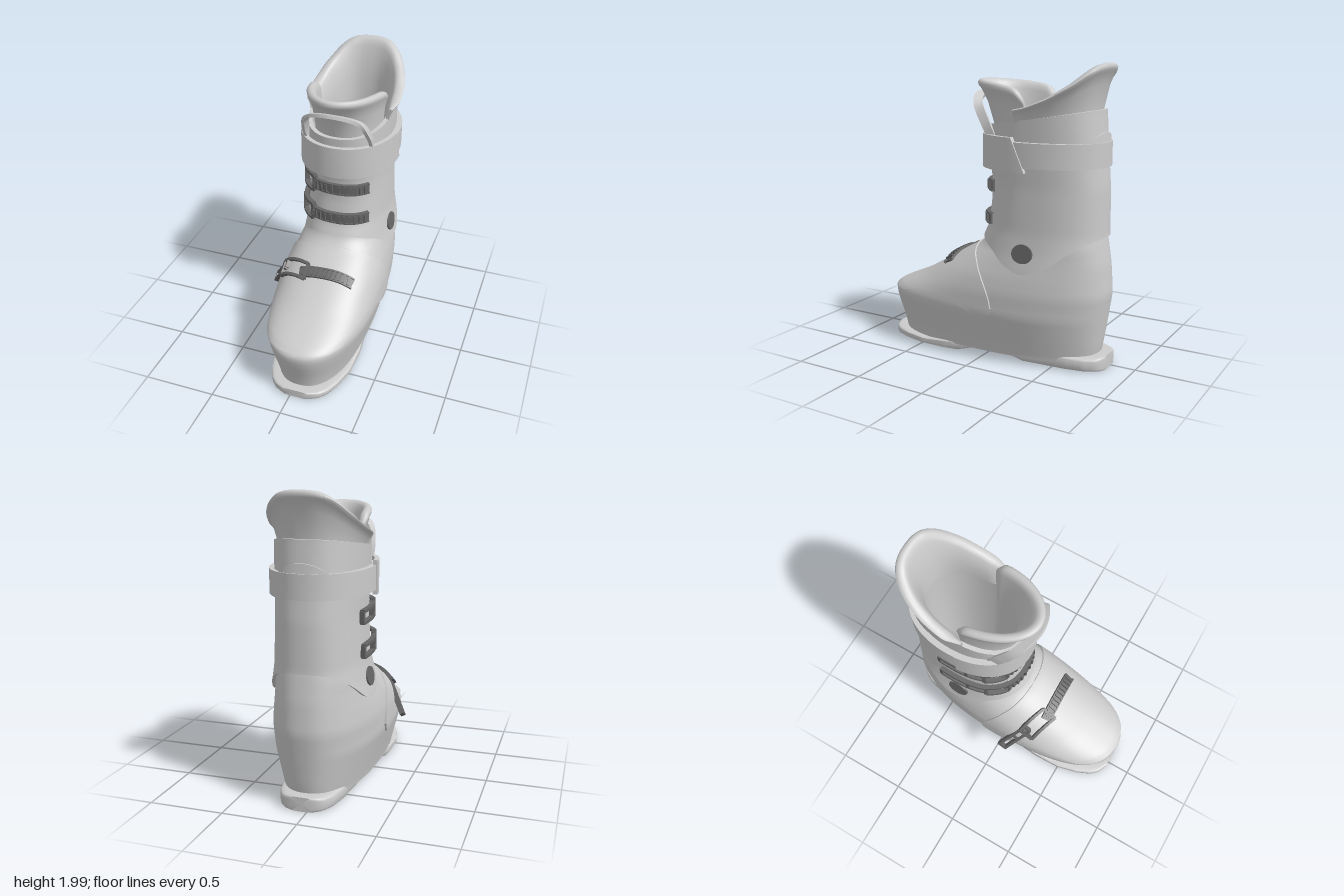
import * as THREE from 'three';
import { toCreasedNormals } from 'three/addons/utils/BufferGeometryUtils.js';

const CX = 0.04, PI = Math.PI;
const V = (x, y, z) => new THREE.Vector3(x, y, z);
const shellMat = new THREE.MeshStandardMaterial({ color: 0xcccccc, side: THREE.DoubleSide });
const darkMat = new THREE.MeshStandardMaterial({ color: 0x666666, side: THREE.DoubleSide });
const range = (n, f) => Array.from({ length: n + 1 }, (_, i) => f(i / n, i));
const { lerp: mix, clamp } = THREE.MathUtils;
const spow = (v, p) => Math.sign(v) * Math.abs(v) ** p;

// Piecewise interpolation of [key, value] pairs, and a softened version
function lin(tab, k) {
  if (k <= tab[0][0]) return tab[0][1];
  for (let i = 1; i < tab.length; i++) {
    const [a, va] = tab[i - 1], [b, vb] = tab[i];
    if (k <= b) return mix(va, vb, (k - a) / (b - a));
  }
  return tab[tab.length - 1][1];
}
const soft = (tab, k) => (lin(tab, k - 0.025) + lin(tab, k) + lin(tab, k + 0.025)) / 3;

// Profiles by height: plan roundness, front z, back z, half width, z of widest point
const SHELL = {
  n: 2.4,
  zf: [[0.05, 0.765], [0.14, 0.785], [0.28, 0.83], [0.35, 0.842], [0.385, 0.83], [0.405, 0.79], [0.45, 0.69], [0.5, 0.57], [0.6, 0.395], [0.7, 0.23], [0.78, 0.09], [0.85, 0.045], [0.95, 0]],
  zb: [[0.05, -0.75], [0.15, -0.77], [0.5, -0.82], [0.7, -0.805], [0.88, -0.775], [0.95, -0.76]],
  hw: [[0.05, 0.278], [0.15, 0.302], [0.35, 0.354], [0.5, 0.35], [0.6, 0.332], [0.7, 0.303], [0.78, 0.282], [0.95, 0.26]],
  zc: [[0.05, 0.07], [0.38, 0.07], [0.6, -0.1], [0.8, -0.35]],
};
const CUFF = {
  n: 2.4,
  zf: [[0.64, 0.12], [0.78, 0.1], [0.85, 0.07], [0.92, 0.035], [1.1, 0.01], [1.25, 0.01], [1.35, 0.035], [1.6, 0.045]],
  zb: [[0.64, -0.82], [0.88, -0.785], [1.2, -0.782], [1.4, -0.765], [1.7, -0.742]],
  hw: [[0.64, 0.328], [0.78, 0.297], [0.9, 0.28], [1.2, 0.268], [1.4, 0.272], [1.7, 0.278]],
  zc: [[0.64, -0.36]],
};
const STRAP = { n: 2.15, zf: [[0, 0.075]], zb: [[0, -0.79]], hw: [[0, 0.328]], zc: [[0, -0.34]] };

// Point of a profile at height y and plan angle a (front = PI/2)
function at(p, y, a, off = 0) {
  const zc = soft(p.zc, y), s = spow(Math.sin(a), 2 / p.n);
  const reach = s > 0 ? soft(p.zf, y) - zc : zc - soft(p.zb, y);
  return V(CX + (soft(p.hw, y) + off) * spow(Math.cos(a), 2 / p.n), y, zc + (reach + off) * s);
}
// Half width of the lower shell at (y, z), and its ridge height at z
function halfWidth(y, z, off) {
  const zc = soft(SHELL.zc, y), n = SHELL.n;
  const r = Math.abs(z - zc) / ((z > zc ? soft(SHELL.zf, y) - zc : zc - soft(SHELL.zb, y)) + off);
  return r >= 1 ? 0 : (soft(SHELL.hw, y) + off) * (1 - r ** n) ** (1 / n);
}
function bisect(lo, hi, inside) {
  for (let i = 0; i < 24; i++) { const m = (lo + hi) / 2; if (inside(m)) lo = m; else hi = m; }
  return lo;
}
const ridge = (z, off) => bisect(0.36, 0.95, y => soft(SHELL.zf, y) + off > z);
const overFoot = (x, z, off) => V(x, bisect(0.4, ridge(z, off), y => halfWidth(y, z, off) > Math.abs(x - CX)), z);

// Skin over rows of points
function loft(rows, { closed = true, cap = false, crease = 0 } = {}) {
  const n = rows[0].length, pos = [], idx = [];
  rows.forEach(r => r.forEach(p => pos.push(p.x, p.y, p.z)));
  for (let j = 0; j < rows.length - 1; j++) for (let i = 0; i < (closed ? n : n - 1); i++) {
    const a = j * n + i, b = j * n + (i + 1) % n;
    idx.push(a, a + n, b, b, a + n, b + n);
  }
  if (cap) [0, rows.length - 1].forEach((j, end) => {
    const c = pos.length / 3, m = rows[j].reduce((s, p) => s.add(p), V(0, 0, 0)).divideScalar(n);
    pos.push(m.x, m.y, m.z);
    for (let i = 0; i < n; i++) {
      const a = j * n + i, b = j * n + (i + 1) % n;
      idx.push(c, end ? b : a, end ? a : b);
    }
  });
  const g = new THREE.BufferGeometry();
  g.setAttribute('position', new THREE.Float32BufferAttribute(pos, 3));
  g.setIndex(idx);
  g.computeVertexNormals();
  return crease ? toCreasedNormals(g, crease) : g;
}
// Flat bar of width w (along W) and thickness t following points
function bar(pts, W, w, t) {
  return loft(pts.map((p, i) => {
    const T = pts[Math.min(i + 1, pts.length - 1)].clone().sub(pts[Math.max(i - 1, 0)]).normalize();
    const B = W.clone().addScaledVector(T, -W.dot(T)).normalize(), A = T.clone().cross(B);
    return [[1, -1], [1, 1], [-1, 1], [-1, -1]].map(([a, b]) =>
      p.clone().addScaledVector(A, a * t / 2).addScaledVector(B, b * w / 2));
  }), { cap: true, crease: 0.6 });
}

export function createModel() {
  const model = new THREE.Group();
  const add = (name, geo, mat = shellMat, parent = model) => {
    const m = new THREE.Mesh(geo, mat);
    m.name = name;
    parent.add(m);
    return m;
  };
  const ring = (f, n = 96) => range(n - 1, (_, i) => f(i / n * 2 * PI));

  // Sole with raised arch
  const soleW = [[-0.83, 0.07], [-0.815, 0.115], [-0.79, 0.145], [-0.72, 0.182], [-0.6, 0.208], [-0.3, 0.235], [0, 0.262], [0.3, 0.288], [0.5, 0.282], [0.65, 0.245], [0.75, 0.2], [0.8, 0.155], [0.83, 0.09]];
  const soleB = [[-0.3, 0.004], [-0.14, 0.055], [0.04, 0.055], [0.2, 0.004]];
  const soleT = [[-0.7, 0.1], [-0.3, 0.135], [-0.1, 0.12], [0.45, 0.06]];
  add('sole', loft(range(100, t => {
    const z = mix(-0.83, 0.83, t), b = lin(soleB, z), h = (lin(soleT, z) - b) / 2, w = lin(soleW, z);
    return ring(a => V(CX + w * spow(Math.sin(a), 0.35), b + h + h * spow(Math.cos(a), 0.35), z), 32);
  }), { cap: true, crease: 0.7 }));

  // Lower shell
  add('lowerShell', loft(range(70, t => ring(a => at(SHELL, mix(0.058, 0.95, t), a)))));

  // Instep panel lying over the toes
  const low = [[-0.125, 0.385], [-0.1, 0.335], [-0.075, 0.315], [-0.05, 0.31], [0.05, 0.345], [0.2, 0.42], [0.35, 0.452], [0.5, 0.425], [0.65, 0.382], [0.75, 0.372], [0.83, 0.385]];
  const rear = [[-0.125, 0.39], [-0.12, 0.43], [-0.09, 0.51], [-0.04, 0.6], [0.02, 0.69], [0.1, 0.77], [0.2, 0.95]];
  for (const side of [-1, 1]) add('instepPanel', loft(range(90, u => {
    const z = mix(-0.125, 0.838, u), top = ridge(z, 0.013), back = lin(rear, z);
    const y0 = Math.min(lin(low, z), top), y1 = Math.min(top, back);
    return range(26, (_, i) => {
      const y = mix(y0, y1, 1 - (1 - clamp((i - 1) / 24, 0, 1)) ** 2);
      const off = i === 0 || (i === 26 && back < top) ? -0.01 : 0.013;
      return V(CX + side * (i > 24 && back >= top ? 0 : halfWidth(y, z, off)), y, z);
    });
  }), { closed: false, crease: 0.6 }));

  // Cuff: wavy lower edge, sloping top, rolled rim
  const hem = [[-0.8, 0.89], [-0.75, 0.87], [-0.6, 0.78], [-0.47, 0.68], [-0.33, 0.64], [-0.2, 0.69], [-0.1, 0.77], [0.06, 0.84]];
  const rim = [[-0.74, 1.7], [0.05, 1.58]];
  const hemAt = a => soft(hem, at(CUFF, 0.8, a).z), rimAt = a => lin(rim, at(CUFF, 1.6, a).z);
  const onCuff = (a, t, off) => at(CUFF, mix(hemAt(a), rimAt(a), t), a, off);
  add('cuff', loft([
    ring(a => onCuff(a, 0, -0.02)),
    ...range(50, t => ring(a => onCuff(a, t, 0.004))),
    ring(a => onCuff(a, 1, -0.025)), ring(a => onCuff(a, 0.8, -0.03)),
  ], { crease: 0.8 }));
  add('rearTab', loft(range(20, t => {
    const a = -PI / 2 + (t - 0.5) * 1.1, h = 0.07 * Math.sin(t * PI);
    return [at(CUFF, 1.46, a, 0), at(CUFF, 1.46, a, 0.02), at(CUFF, 1.49 + h, a, 0.02), at(CUFF, 1.49 + h, a, 0)];
  }), { cap: true, crease: 0.6 }));

  // Ankle pivots
  for (const side of [-1, 1]) {
    const p = add('anklePivot', new THREE.CylinderGeometry(0.062, 0.064, 0.016, 32), darkMat);
    p.rotation.z = -side * (PI / 2 - 0.18);
    p.scale.z = 1.2;
    p.position.set(CX + side * 0.304, 0.78, -0.335);
  }

  // Inner boot: sock narrowing to a pointed floor, rear collar and tongue
  add('innerSock', loft([[1.58, 0, -0.69, 0.245, 1], [1.2, -0.04, -0.695, 0.235, 1.1], [0.8, -0.07, -0.68, 0.215, 1.25], [0.3, -0.1, -0.66, 0.19, 1.4], [0.3, -0.35, -0.35, 0, 1]]
    .map(([y, f, b, w, p]) => ring(a => {
      const s = Math.sin(a), zc = -0.35;
      return V(CX + w * Math.cos(a), y, s > 0 ? zc + (f - zc) * s ** p : zc + (zc - b) * spow(s, 0.85));
    }, 64)), { crease: 0.8 }));
  // Padded wall: [height fraction, outward swing, thickness offset]
  const wall = [[0, 0, 0], [0.35, 0.1, 0], [0.7, 0.5, 0], [0.87, 0.84, 0], [0.91, 0.94, 0.006], [0.96, 1, 0.006], [0.99, 1, -0.004], [1, 1, -0.02], [0.99, 1, -0.038],
    [0.95, 0.92, -0.05], [0.87, 0.76, -0.05], [0.7, 0.45, -0.048], [0.35, 0.08, -0.045], [0, 0, -0.045]];
  const collarTop = [[-0.8, 2], [-0.76, 1.965], [-0.65, 1.87], [-0.5, 1.78], [-0.35, 1.72], [-0.25, 1.7]];
  const tongueTop = [[-0.33, 1.7], [-0.3, 1.77], [-0.27, 1.815], [-0.22, 1.84], [-0.1, 1.858], [0.14, 1.88]];
  // Open half round: dir faces back or front, n is roundness, w and r run from foot to rim
  const padded = (name, dir, n, spread, zc, y0, w, r, top) => add(name, loft(range(70, t => {
    const a = dir * PI / 2 + (t - 0.5) * (PI + spread), c = spow(Math.cos(a), 2 / n), s = spow(Math.sin(a), 2 / n);
    const y1 = soft(top, zc + r[1] * s);
    const row = wall.map(([h, o, d]) => V(CX + (mix(...w, o) + d) * c, mix(y0, y1, h), zc + (mix(...r, o) + d) * s));
    // Ends close in a rounded edge
    const mid = row.reduce((m, p) => m.add(p), V(0, 0, 0)).divideScalar(row.length);
    const squeeze = 0.6 * Math.max(0, 1 - Math.min(t, 1 - t) * 30);
    return row.map(p => V(mix(p.x, mid.x, squeeze), p.y, p.z));
  }), { cap: true, crease: 1 }));
  padded('rearCollar', -1, 2.5, 0.05, -0.28, 1.55, [0.262, 0.322], [0.435, 0.52], collarTop);
  padded('tongue', 1, 2, 0.08, -0.29, 1.4, [0.225, 0.262], [0.29, 0.434], tongueTop);

  // Top strap: narrow band all round, wide slanted flap in front
  const band = (a, y, off) => at(STRAP, y, a, off);
  add('strapBand', loft([[1.34, -0.04], [1.34, 0], [1.5, 0], [1.5, -0.04], [1.34, -0.04]].map(([y, o]) => ring(a => band(a, y, o))), { crease: 0.6 }));
  add('strapFlap', loft(range(60, t => {
    const lo = mix(-0.04, PI - 0.1, t), hi = mix(0.16, PI - 0.1, t);
    return [band(lo, 1.31, -0.02), band(lo, 1.31, 0.01), band(hi, 1.53, 0.01), band(hi, 1.53, -0.02)];
  }), { cap: true, crease: 0.6 }));

  // Pull loop
  const loop = new THREE.CatmullRomCurve3([[-0.23, 1.46, -0.1], [-0.22, 1.61, -0.01], [-0.17, 1.73, 0.075], [0, 1.778, 0.13],
    [0.17, 1.73, 0.075], [0.22, 1.61, -0.01], [0.23, 1.46, -0.1]].map(([x, y, z]) => V(CX + x, y, z)));
  add('pullLoop', bar(loop.getPoints(48), V(0, 0.35, 1), 0.06, 0.022));

  // Buckles: toothed strap, catch frame and lever frame
  function buckle(name, W, strap, frames) {
    const g = new THREE.Group();
    g.name = name;
    model.add(g);
    add('ladderStrap', bar(range(24, strap), W, 0.07, 0.016), darkMat, g);
    for (const s of [-1, 1]) add('strapEdge', bar(range(24, t => strap(t).addScaledVector(W, s * 0.034)), W, 0.01, 0.03), darkMat, g);
    for (let i = 1; i < 12; i++) {
      const p = strap(i / 12), T = strap(i / 12 + 0.01).sub(p).normalize();
      p.addScaledVector(T.clone().cross(W), 0.008);
      add('tooth', bar([-0.03, 0.03].map(d => p.clone().addScaledVector(W, d)), T, 0.016, 0.03), darkMat, g);
    }
    for (const { path, w, bars } of frames) {
      for (const s of [-1, 1]) add('frameRail', bar(range(8, t => path(t).addScaledVector(W, s * w / 2)), W, 0.02, 0.032), darkMat, g);
      for (const t of bars) {
        const T = path(t + 0.05).sub(path(t));
        add('frameBar', bar([-w / 2, w / 2].map(d => path(t).addScaledVector(W, d)), T, 0.022, 0.03), darkMat, g);
      }
    }
  }
  for (const y of [0.97, 1.19]) {
    const path = (a, b, o0, o1) => t => at(CUFF, y, mix(a, b, t), mix(o0, o1, t));
    buckle('cuffBuckle', V(0, -1, 0), path(0.8, 2.2, 0.014, 0.014), [
      { path: path(2.08, 2.6, 0.02, 0.03), w: 0.115, bars: [0, 1] },
      { path: path(2.55, 3.3, 0.025, 0.022), w: 0.075, bars: [0.5, 1] },
    ]);
  }
  const foot = (x0, x1, z0, z1, off) => t => overFoot(mix(x0, x1, t), mix(z0, z1, t), off);
  const lever0 = overFoot(-0.24, 0.22, 0.024);
  buckle('toeBuckle', V(0, -0.5, 0.866), foot(0.26, -0.12, 0.29, 0.305, 0.018), [
    { path: foot(-0.07, -0.27, 0.305, 0.23, 0.025), w: 0.115, bars: [0, 1] },
    { path: t => lever0.clone().lerp(V(-0.385, 0.385, 0.09), t), w: 0.055, bars: [0, 0.45, 0.97] },
  ]);

  return model;
}
